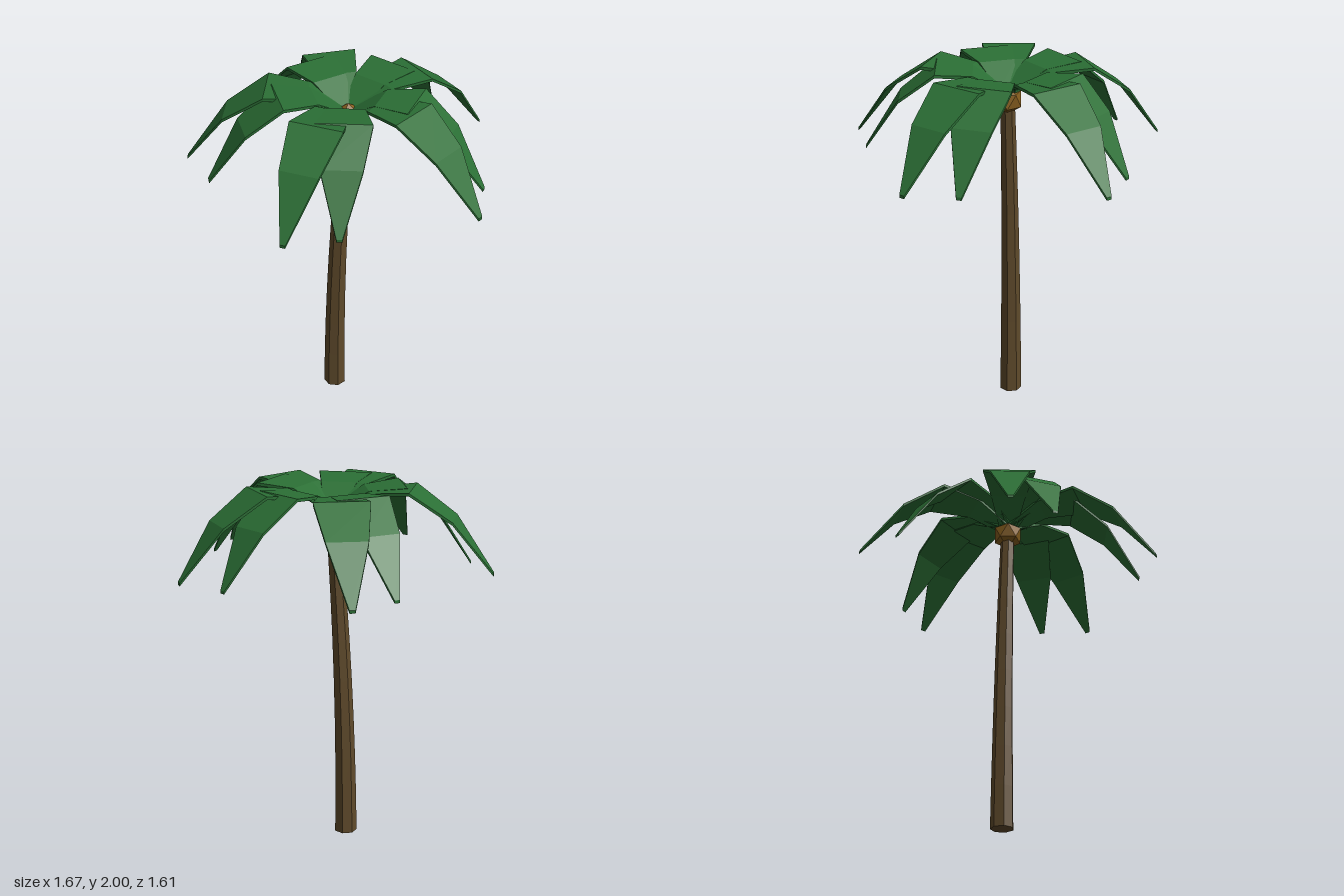
import * as THREE from 'three';

// Give every face its own flat normal
function facet(geometry) {
  const flat = geometry.index ? geometry.toNonIndexed() : geometry;
  flat.computeVertexNormals();
  return flat;
}

// Move every vertex of a geometry by a rule
function reshape(geometry, rule) {
  const p = geometry.attributes.position;
  const v = new THREE.Vector3();
  for (let i = 0; i < p.count; i++) {
    rule(v.fromBufferAttribute(p, i));
    p.setXYZ(i, v.x, v.y, v.z);
  }
  return facet(geometry);
}

// Frond cross-sections from crown to tip: reach, half width, height.
// Steep out of the heart, almost level, then drooping.
const SECTIONS = [
  [0, 0.045, 1.87],
  [0.21, 0.1, 1.98],
  [0.435, 0.148, 2],
  [0.66, 0.108, 1.847],
  [0.875, 0.015, 1.56],
];

function frondGeometry(reach) {
  const t = 0.016;
  return reshape(new THREE.BoxGeometry(2, t, 4, 1, 1, 4), (v) => {
    const [r, w, h] = SECTIONS[Math.round(v.z + 2)];
    v.set(v.x * w, h + v.y - t / 2, r * reach);
  });
}

export function createModel() {
  const palm = new THREE.Group();
  palm.name = 'palmTree';
  const bark = new THREE.MeshStandardMaterial({ color: 0x5f4a2b });
  bark.name = 'bark';
  const leaf = new THREE.MeshStandardMaterial({ color: 0x2b6f35 });
  leaf.name = 'leafGreen';
  const husk = new THREE.MeshStandardMaterial({ color: 0x875f1f });
  husk.name = 'husk';

  const add = (name, geometry, material) => {
    const mesh = new THREE.Mesh(geometry, material);
    mesh.name = name;
    mesh.position.z = -0.073;
    palm.add(mesh);
    return mesh;
  };

  // Tapered seven-sided trunk, bending towards the crown
  const height = 1.83;
  const trunk = new THREE.CylinderGeometry(0.04, 0.064, height, 7, 8);
  trunk.rotateY(Math.PI / 2);
  trunk.translate(0, height / 2, 0);
  add('trunk', reshape(trunk, (v) => {
    v.x += -0.082 * (1 - (v.y / height) ** 2);
  }), bark);

  // Faceted heart of the crown, one corner pointing up
  const heart = new THREE.IcosahedronGeometry(0.087, 0);
  heart.rotateX(-Math.atan((1 + Math.sqrt(5)) / 2));
  heart.translate(0, 1.825, 0);
  add('crownHeart', facet(heart), husk);

  // Five pairs of fronds, a short and a long one in each
  const shortFrond = frondGeometry(0.873);
  const longFrond = frondGeometry(1);
  for (let i = 0; i < 5; i++) {
    const angle = (i * 2 * Math.PI) / 5;
    add('shortFrond', shortFrond, leaf).rotation.y = Math.PI / 2 - angle;
    add('longFrond', longFrond, leaf).rotation.y =
      Math.PI / 2 - angle - THREE.MathUtils.degToRad(18.5);
  }
  return palm;
}
